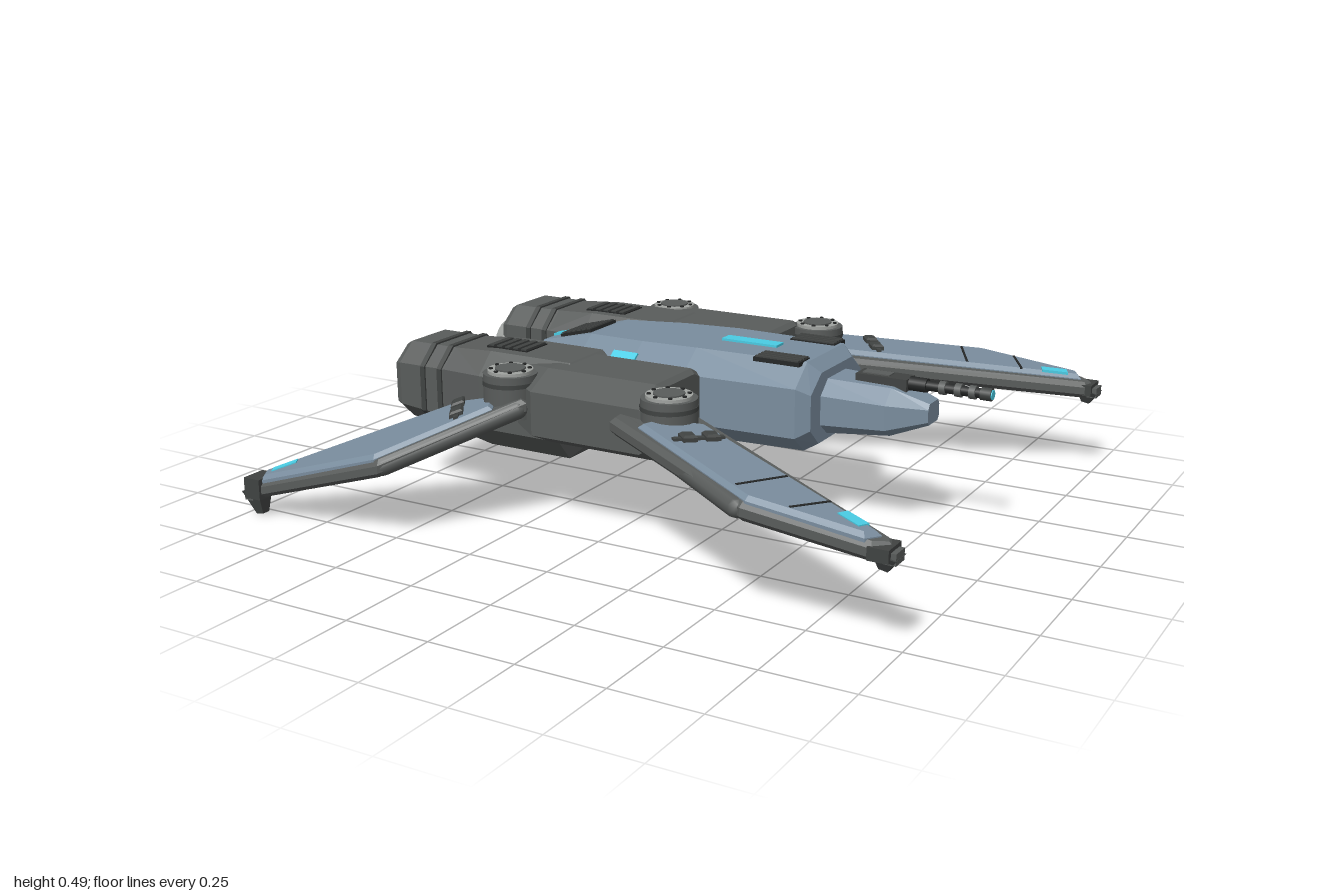
import * as THREE from 'three';

const mat = (name, color) => Object.assign(new THREE.MeshStandardMaterial({ color }), { name });

export function createModel() {
  const blue = mat('slate blue armour', 0x7a8d9e);
  const hull = mat('hull grey', 0x595c5b);
  const dark = mat('dark trim', 0x404342);
  const black = mat('vent black', 0x252727);
  const cyan = mat('cyan light', 0x4acce4);
  const steel = mat('light steel', 0xa0a3a0);
  steel.side = THREE.DoubleSide;
  const model = new THREE.Group();
  model.name = 'spacecraft';

  const add = (parent, name, geo, material, x = 0, y = 0, z = 0) => {
    const m = new THREE.Mesh(geo, material);
    m.name = name;
    m.position.set(x, y, z);
    parent.add(m);
    return m;
  };
  const box = (parent, name, material, w, h, d, x, y, z) =>
    add(parent, name, new THREE.BoxGeometry(w, h, d), material, x, y, z);
  const flat = (g) => {
    const f = g.index ? g.toNonIndexed() : g;
    f.computeVertexNormals();
    return f;
  };

  // Octagonal hull lofted along x; each section: x, centre z, half width,
  // half width of top and bottom, then the four heights downwards
  const loft = (sections) => {
    const pos = [], idx = [], n = 8;
    for (const [x, c, hw, tw, bw, top, up, low, bot] of sections)
      for (const [z, y] of [[tw, top], [hw, up], [hw, low], [bw, bot],
        [-bw, bot], [-hw, low], [-hw, up], [-tw, top]]) pos.push(x, y, c + z);
    const last = (sections.length - 1) * n;
    for (let s = 0; s < last; s += n)
      for (let j = 0; j < n; j++) {
        const k = (j + 1) % n;
        idx.push(s + j, s + k, s + n + k, s + j, s + n + k, s + n + j);
      }
    for (let j = 1; j < n - 1; j++) idx.push(0, j + 1, j, last, last + j, last + j + 1);
    const g = new THREE.BufferGeometry();
    g.setAttribute('position', new THREE.Float32BufferAttribute(pos, 3));
    g.setIndex(idx);
    return flat(g);
  };

  // Bevelled plate with an (x, z) outline, sheared to follow the height rule
  const plate = (outline, bottom, top, bevel, height) => {
    const shape = new THREE.Shape(outline.map(([x, z]) => new THREE.Vector2(x, -z)));
    const g = new THREE.ExtrudeGeometry(shape, {
      depth: top - bottom - 2 * bevel, bevelEnabled: bevel > 0, bevelThickness: bevel,
      bevelSize: bevel, bevelOffset: -bevel, bevelSegments: 1,
    });
    g.rotateX(-Math.PI / 2);
    const p = g.attributes.position;
    for (let i = 0; i < p.count; i++)
      p.setY(i, p.getY(i) + bottom + bevel + height(p.getX(i), p.getZ(i)));
    return flat(g);
  };
  const strip = ([x0, z0], [x1, z1], w) => {
    const l = Math.hypot(x1 - x0, z1 - z0) * 2 / w, dx = (z1 - z0) / l, dz = (x0 - x1) / l;
    return [[x0 + dx, z0 + dz], [x1 + dx, z1 + dz], [x1 - dx, z1 - dz], [x0 - dx, z0 - dz]];
  };
  const rod = (parent, name, material, a, b, r) => {
    const A = new THREE.Vector3(...a), B = new THREE.Vector3(...b);
    const m = add(parent, name, new THREE.CapsuleGeometry(r, A.distanceTo(B), 4, 10), material);
    m.position.addVectors(A, B).multiplyScalar(0.5);
    m.quaternion.setFromUnitVectors(new THREE.Vector3(0, 1, 0), B.sub(A).normalize());
  };
  const vent = (parent, name, x, y, z, w, d, slats, alongX, tilt = 0) => {
    const g = new THREE.Group();
    g.name = name;
    g.position.set(x, y, z);
    g.rotation.z = tilt;
    parent.add(g);
    box(g, 'ventWell', black, w, 0.012, d, 0, 0, 0);
    for (let i = 0; i < slats; i++) {
      const t = (i + 0.5) / slats - 0.5;
      if (alongX) box(g, 'ventSlat', dark, w * 0.94, 0.01, d / slats * 0.6, 0, 0.005, t * d);
      else box(g, 'ventSlat', dark, w / slats * 0.6, 0.01, d * 0.94, t * w, 0.005, 0);
    }
  };

  // Central fuselage and nose
  add(model, 'fuselage', loft([
    [-0.46, 0, 0.10, 0.07, 0.07, 0.42, 0.39, 0.31, 0.28],
    [-0.27, 0, 0.165, 0.10, 0.11, 0.468, 0.42, 0.28, 0.235],
    [-0.08, 0, 0.20, 0.125, 0.14, 0.475, 0.42, 0.28, 0.225],
    [0.10, 0, 0.208, 0.13, 0.14, 0.48, 0.42, 0.28, 0.225],
    [0.44, 0, 0.192, 0.12, 0.13, 0.48, 0.42, 0.28, 0.23],
    [0.475, 0, 0.165, 0.10, 0.11, 0.45, 0.40, 0.30, 0.25],
  ]), blue);
  add(model, 'nose', loft([
    [0.45, 0, 0.105, 0.06, 0.06, 0.425, 0.385, 0.30, 0.265],
    [0.66, 0, 0.092, 0.05, 0.05, 0.42, 0.38, 0.31, 0.285],
    [0.765, 0, 0.04, 0.03, 0.03, 0.385, 0.37, 0.335, 0.325],
  ]), blue);
  vent(model, 'rearVent', -0.345, 0.452, 0, 0.11, 0.14, 6, false, 0.25);
  box(model, 'rearLight', cyan, 0.04, 0.008, 0.035, -0.44, 0.428, 0).rotation.z = 0.25;
  box(model, 'spineLight', cyan, 0.175, 0.009, 0.044, 0.21, 0.482, 0);

  // Nose cannon
  const cannon = new THREE.Group();
  cannon.name = 'noseCannon';
  model.add(cannon);
  box(cannon, 'cannonMount', dark, 0.15, 0.035, 0.06, 0.62, 0.425, 0);
  box(cannon, 'cannonBreech', hull, 0.08, 0.012, 0.035, 0.6, 0.44, 0);
  const ring = (name, r, len, x, m) =>
    add(cannon, name, new THREE.CylinderGeometry(r, r, len, 12), m, x, 0.427, 0).rotation.z = Math.PI / 2;
  ring('barrel', 0.014, 0.28, 0.785, black);
  for (const x of [0.79, 0.835, 0.875]) ring('barrelRing', 0.019, 0.018, x, hull);
  ring('barrelCollar', 0.02, 0.05, 0.72, black);
  ring('muzzle', 0.018, 0.03, 0.913, dark);
  ring('muzzleLight', 0.014, 0.004, 0.929, cyan);

  // Wing plan for front and rear: outline, armour panel and height rule
  const wings = [{
    name: 'frontWing', hinge: [0.2, 0.455], y: (x) => 0.367 - 0.112 * (x - 0.2),
    body: [[0.15, 0.31], [0.97, 0.745], [0.985, 0.78], [0.94, 0.815], [0.6, 0.815], [0.07, 0.545], [0.06, 0.46]],
    panel: [[0.3, 0.435], [0.945, 0.765], [0.92, 0.808], [0.61, 0.805], [0.17, 0.565], [0.19, 0.49]],
    seams: [[[0.56, 0.755], [0.63, 0.62]], [[0.72, 0.79], [0.78, 0.69]]],
    joint: [[0.30, 0.61], [0.39, 0.50]], light: [[0.83, 0.732], [0.9, 0.766]],
    edge: [[0.1, 0.51], [0.58, 0.79]], tip: [0.965, 0.78], top: 0.285, bottom: 0.21, out: 1,
  }, {
    name: 'rearWing', hinge: [-0.31, 0.455], y: (x, z) => 0.362 + 0.311 * (x + 0.31) - 0.169 * (z - 0.455),
    body: [[-0.3, 0.4], [-0.46, 0.42], [-0.985, 0.75], [-0.985, 0.79], [-0.93, 0.815], [-0.5, 0.815], [-0.22, 0.51]],
    panel: [[-0.49, 0.445], [-0.97, 0.755], [-0.935, 0.808], [-0.52, 0.805], [-0.3, 0.56], [-0.35, 0.47]],
    seams: [], joint: [[-0.50, 0.445], [-0.38, 0.62]], light: [[-0.925, 0.768], [-0.865, 0.73]],
    edge: [[-0.25, 0.51], [-0.505, 0.785]], tip: [-0.965, 0.785], top: 0.135, bottom: 0, out: -1,
  }];

  const buildWing = (side, w) => {
    const g = new THREE.Group();
    g.name = w.name;
    side.add(g);
    add(g, 'wingBody', plate(w.body, -0.05, 0, 0.014, w.y), hull);
    add(g, 'wingArmour', plate(w.panel, -0.02, 0.015, 0.012, w.y), blue);
    for (const [a, b] of w.seams) add(g, 'seam', plate(strip(a, b, 0.007), 0.01, 0.017, 0, w.y), black);
    const [a, b] = w.joint;
    add(g, 'jointBar', plate(strip(a, b, 0.014), 0, 0.022, 0, w.y), dark);
    for (const t of [0.3, 0.75]) {
      const at = (s) => [a[0] + (b[0] - a[0]) * s, a[1] + (b[1] - a[1]) * s];
      add(g, 'jointBlock', plate(strip(at(t - 0.14), at(t + 0.14), 0.038), 0, 0.032, 0.006, w.y), dark);
    }
    add(g, 'tipLight', plate(strip(...w.light, 0.032), 0.01, 0.018, 0, w.y), cyan);
    const [p, q] = w.edge.map(([x, z]) => [x, w.y(x, z) - 0.026, z]);
    rod(g, 'roundedEdge', hull, p, q, 0.027);

    // Tip claw, leaning back under the wing
    const [x, z] = w.tip, h = w.top - w.bottom;
    box(g, 'tipClamp', dark, 0.055, h * 0.45, 0.075, x - w.out * 0.008, w.top - h * 0.36, z);
    box(g, 'tipPlate', hull, 0.03, h * 0.4, 0.05, x + w.out * 0.018, w.top - h * 0.47, z);
    const claw = flat(new THREE.CylinderGeometry(0.044, 0.017, h * 0.55, 4).rotateY(Math.PI / 4));
    add(g, 'tipClaw', claw, dark, x, w.bottom + h * 0.275 + 0.003, z).rotation.z = -w.out * 0.2;

    // Hinge drum with bolted cap
    const [hx, hz] = w.hinge;
    const drum = (name, r, y0, y1, m) =>
      add(g, name, new THREE.CylinderGeometry(r, r, y1 - y0, 24), m, hx, (y0 + y1) / 2, hz);
    drum('hingeDrum', 0.077, 0.31, 0.432, hull);
    drum('hingeFlange', 0.079, 0.40, 0.412, dark);
    drum('hingeCap', 0.064, 0.42, 0.441, steel);
    drum('hingeCentre', 0.043, 0.43, 0.445, hull);
    for (let i = 0; i < 8; i++) {
      const t = i * Math.PI / 4 + 0.2;
      add(g, 'bolt', new THREE.CylinderGeometry(0.006, 0.006, 0.006, 6), black,
        hx + Math.cos(t) * 0.054, 0.442, hz + Math.sin(t) * 0.054);
    }
  };

  for (const s of [1, -1]) {
    const side = new THREE.Group();
    side.name = s > 0 ? 'leftHalf' : 'rightHalf';
    side.scale.z = s;
    model.add(side);

    // Shoulder hull, from the fuselage out to the hinges
    add(side, 'shoulderHull', loft([
      [-0.3, 0.3, 0.14, 0.07, 0.08, 0.435, 0.40, 0.28, 0.24],
      [-0.21, 0.32, 0.185, 0.095, 0.09, 0.447, 0.40, 0.275, 0.23],
      [0.135, 0.32, 0.185, 0.095, 0.09, 0.447, 0.40, 0.275, 0.23],
      [0.152, 0.32, 0.18, 0.085, 0.08, 0.435, 0.39, 0.285, 0.24],
    ]), hull);

    // Engine nacelle, bands and nozzle
    const e = (x, k, bot, low) => [x, 0.268, 0.14 + k, 0.078 + k, 0.087 + k, 0.442 + k, 0.39, low, bot - k];
    add(side, 'engine', loft([
      [-0.76, 0.268, 0.132, 0.075, 0.08, 0.43, 0.385, 0.27, 0.225],
      e(-0.74, 0, 0.215, 0.265), e(-0.58, 0, 0.195, 0.25), e(-0.45, 0.008, 0.181, 0.235),
      e(-0.18, 0.008, 0.181, 0.235),
      [-0.12, 0.268, 0.11, 0.05, 0.06, 0.42, 0.39, 0.265, 0.23],
    ]), hull);
    for (const [x, b, l] of [[-0.655, 0.205, 0.257], [-0.595, 0.198, 0.252]])
      add(side, 'engineBand', loft([e(x - 0.008, 0.005, b, l), e(x + 0.008, 0.005, b, l)]), dark);
    const profile = [[0.084, -0.02], [0.076, 0.035], [0.06, 0.035], [0.055, -0.02]];
    add(side, 'nozzle', new THREE.LatheGeometry(profile.map(([r, y]) => new THREE.Vector2(r, y)), 24),
      steel, -0.755, 0.31, 0.205).rotation.z = Math.PI / 2;
    add(side, 'nozzleCore', new THREE.CylinderGeometry(0.06, 0.06, 0.01, 24), black, -0.765, 0.31, 0.205)
      .rotation.z = Math.PI / 2;
    vent(side, 'engineVent', -0.42, 0.447, 0.265, 0.14, 0.105, 5, false);

    // Fuselage vents and side lights
    vent(side, 'frontVent', 0.36, 0.477, 0.115, 0.14, 0.07, 4, true);
    box(side, 'sideLight', cyan, 0.08, 0.009, 0.034, -0.11, 0.437, 0.18).rotation.x = 0.63;

    for (const w of wings) buildWing(side, w);
  }
  return model;
}
